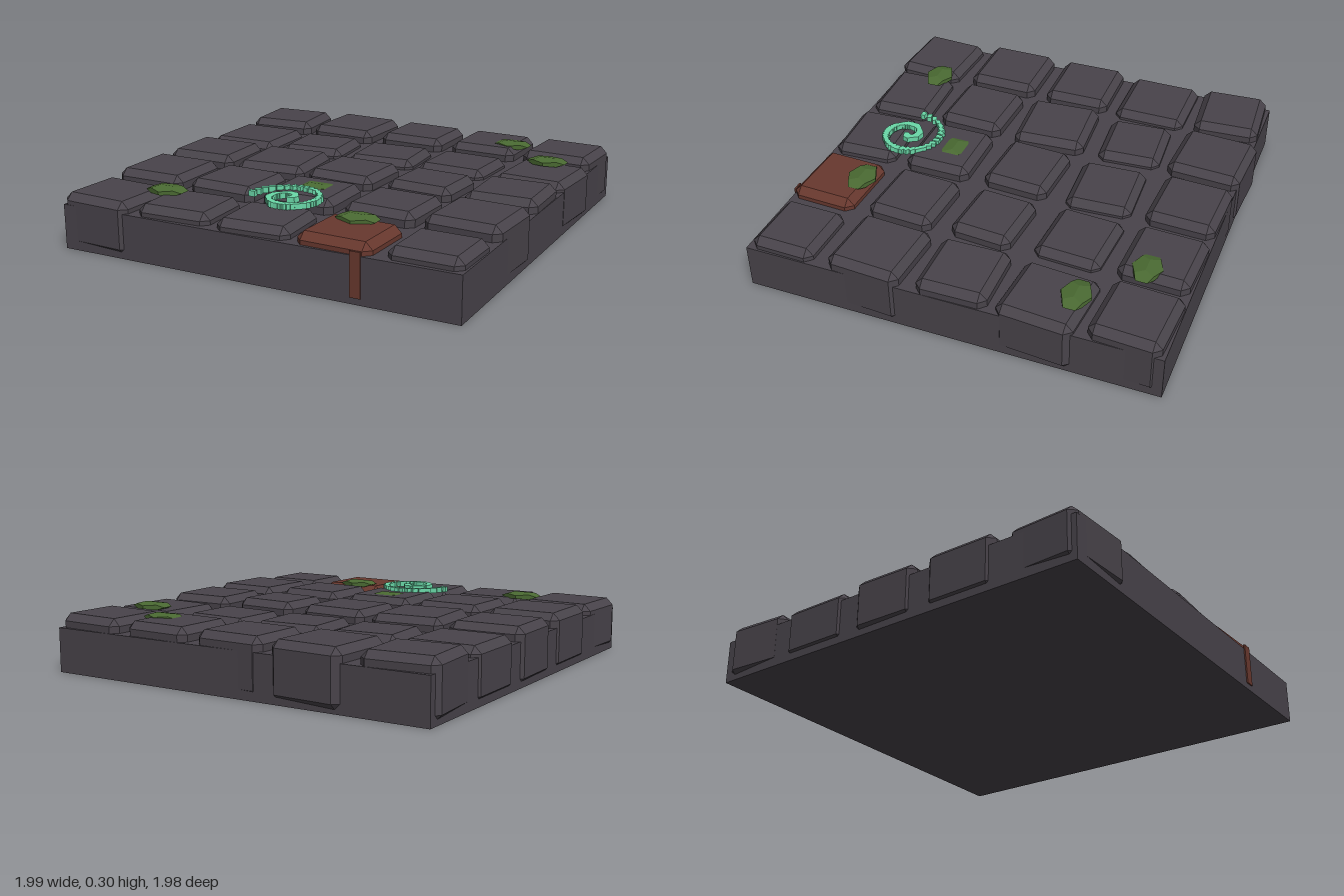
import * as THREE from 'three';
import { ConvexGeometry } from 'three/addons/geometries/ConvexGeometry.js';

const mat = (name, color) => {
  const m = new THREE.MeshStandardMaterial({ color });
  m.name = name;
  return m;
};

// Box with every edge chamfered, faceted
function chamferBox(w, h, d, c) {
  const pts = [];
  for (const x of [-1, 1]) for (const y of [-1, 1]) for (const z of [-1, 1]) {
    const [a, b, e] = [w / 2, h / 2, d / 2];
    pts.push(
      new THREE.Vector3(x * a, y * (b - c), z * (e - c)),
      new THREE.Vector3(x * (a - c), y * b, z * (e - c)),
      new THREE.Vector3(x * (a - c), y * (b - c), z * e));
  }
  return new ConvexGeometry(pts);
}

// Stones by row, back to front: x, z, overall width, overall depth, yaw in degrees
const ROWS = [
  { top: 0.275, stones: [[-0.81, -0.8, 0.37, 0.34, 4], [-0.405, -0.81, 0.37, 0.375, -3], [0, -0.805, 0.36, 0.34, -2], [0.405, -0.8, 0.355, 0.34, -2], [0.8, -0.8, 0.365, 0.34, -3]] },
  { top: 0.256, stones: [[-0.8, -0.415, 0.37, 0.355, 0], [-0.405, -0.415, 0.35, 0.325, 4], [0, -0.4, 0.365, 0.33, 3], [0.395, -0.405, 0.365, 0.33, -3], [0.81, -0.41, 0.375, 0.375, -4]] },
  { top: 0.275, stones: [[-0.805, -0.015, 0.37, 0.335, 1], [-0.395, -0.005, 0.38, 0.375, 4], [0, 0, 0.365, 0.335, -3], [0.41, 0.005, 0.35, 0.315, -4], [0.8, -0.015, 0.35, 0.335, 1]] },
  { top: 0.278, stones: [[-0.805, 0.395, 0.36, 0.355, 0], [-0.4, 0.405, 0.36, 0.335, -2], [0, 0.41, 0.36, 0.325, 0], [0.41, 0.405, 0.36, 0.335, -3], [0.8, 0.39, 0.375, 0.365, -3]] },
  { top: 0.263, stones: [[-0.8, 0.81, 0.375, 0.35, -3], [-0.405, 0.8, 0.375, 0.32, 2], [0, 0.805, 0.365, 0.325, 3], [0.4, 0.805, 0.365, 0.325, -2], [0.8, 0.8, 0.34, 0.31, -1]] },
];

export function createModel() {
  const root = new THREE.Group();
  root.name = 'stoneFloorTile';
  const mortar = mat('mortar', 0x48434a);
  const stone = mat('stone', 0x48434a);
  const rust = mat('rustRed', 0x68382e);
  const moss = mat('mossGreen', 0x4a6a32);
  const mint = mat('mintGlow', 0x6ad8a8);

  const add = (name, geo, material, x, y, z, parent = root) => {
    const m = new THREE.Mesh(geo, material);
    m.name = name;
    m.position.set(x, y, z);
    parent.add(m);
    return m;
  };

  // Slab
  add('slab', new THREE.BoxGeometry(1.952, 0.21, 1.945), mortar, 0, 0.105, 0);

  // Paving stones, one of them stained
  const paving = new THREE.Group();
  paving.name = 'pavingStones';
  root.add(paving);
  ROWS.forEach(({ top, stones }, r) => stones.forEach(([x, z, w, d, yaw], c) => {
    const a = THREE.MathUtils.degToRad(yaw);
    const spread = 0.27 * Math.abs(Math.sin(a));
    const stained = r === 4 && c === 3;
    const h = top - 0.012;
    add(stained ? 'stainedStone' : 'stone', chamferBox(w - spread, h, d - spread, 0.033),
      stained ? rust : stone, x, top - h / 2, z, paving).rotation.y = a;
  }));

  // Stain running down the front of the slab
  add('drip', new THREE.BoxGeometry(0.048, 0.2, 0.008), rust, 0.513, 0.13, 0.975);

  // Flattened moss clumps
  const clump = new THREE.DodecahedronGeometry(1);
  for (const [x, y, z] of [[0.525, 0.27, -0.76], [0.795, 0.27, -0.53], [0.005, 0.267, 0.38],
    [-0.575, 0.27, 0.73], [0.38, 0.268, 0.695]])
    add('moss', clump, moss, x, y, z).scale.set(0.103, 0.0215, 0.075);

  // Spiral rune made of small overlapping blocks
  const rune = new THREE.Group();
  rune.name = 'spiralRune';
  root.add(rune);
  const block = new THREE.BoxGeometry(0.032, 0.026, 0.022);
  const count = 72;
  for (let i = 0; i < count; i++) {
    const turns = 1.55 * (1 - Math.pow(1 - i / (count - 1), 1.5));
    const t = Math.PI + turns * Math.PI * 2;
    const rad = 0.183 - 0.108 * turns;
    add('runeBlock', block, mint, 0.005 + rad * Math.cos(t), 0.284, 0.635 + rad * Math.sin(t), rune)
      .rotation.y = t;
  }
  return root;
}
